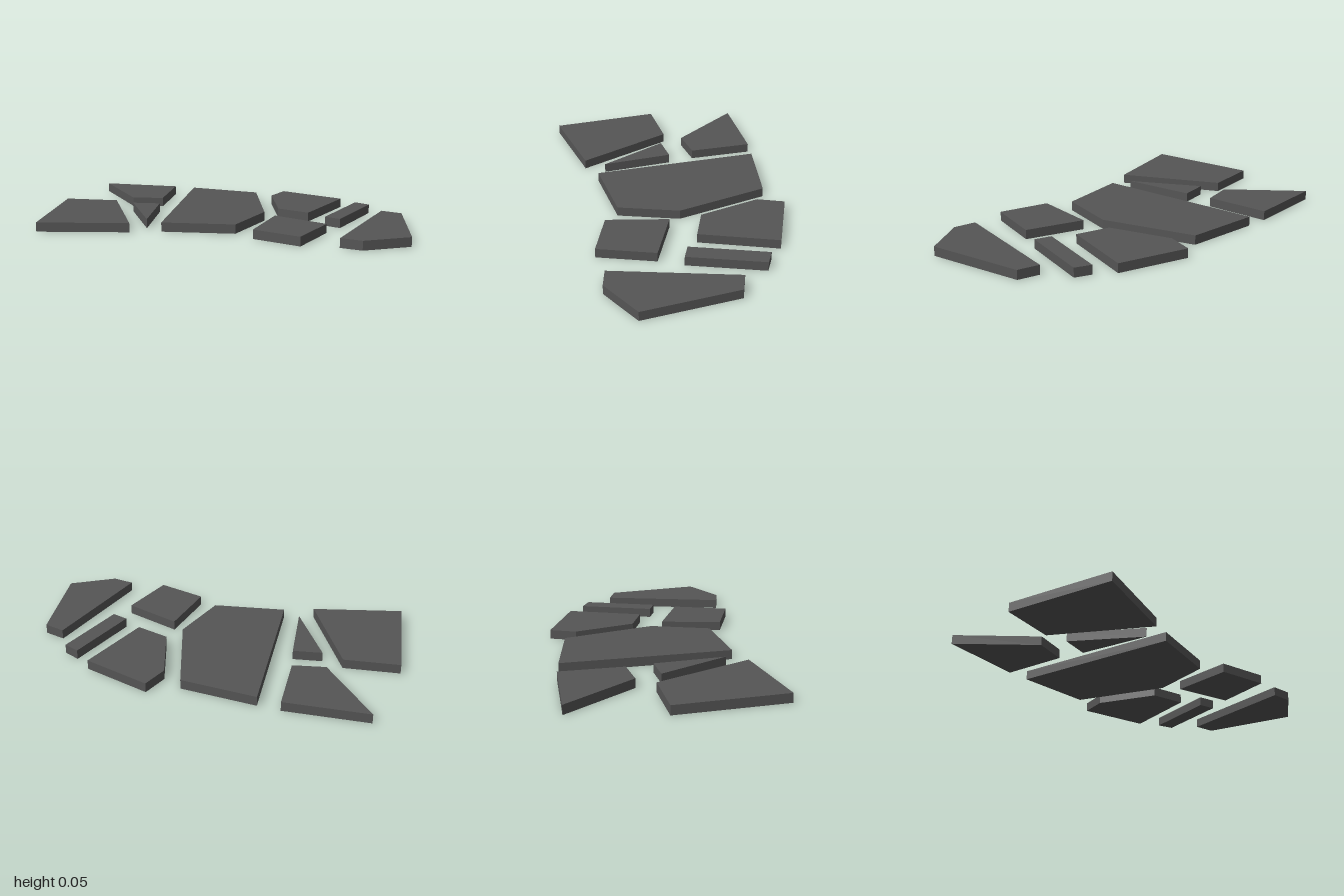
import * as THREE from 'three';

const THICKNESS = 0.047;

// Outlines of the flat slabs, as [x, z] corners seen from above
const SLABS = {
  backRightSlab: [[-0.24, -0.87], [-0.1, -0.63], [-0.43, -0.21], [-0.714, -0.577]],
  backPointedSlab: [[0.2, -1], [0.387, -0.632], [0.103, -0.475], [0.008, -0.61]],
  triangularShard: [[-0.087, -0.518], [-0.008, -0.395], [-0.315, -0.2]],
  centralSlab: [[0.426, -0.525], [0.548, -0.163], [0.188, 0.162], [-0.12, 0.213], [-0.32, -0.097]],
  leftSlab: [[0.537, -0.047], [0.676, -0.062], [0.712, 0.297], [0.317, 0.348], [0.297, 0.172]],
  rightSlab: [[-0.145, 0.34], [0.157, 0.252], [0.176, 0.552], [-0.113, 0.595]],
  narrowBar: [[0.297, 0.464], [0.683, 0.407], [0.683, 0.493], [0.304, 0.55]],
  frontSlab: [[-0.017, 0.75], [0.597, 0.618], [0.612, 0.727], [0.212, 1], [0.008, 0.858]],
};

// Extrudes an outline upward from the ground
function slabGeometry(outline) {
  const shape = new THREE.Shape(outline.map(([x, z]) => new THREE.Vector2(x, -z)));
  const geometry = new THREE.ExtrudeGeometry(shape, { depth: THICKNESS, bevelEnabled: false });
  return geometry.rotateX(-Math.PI / 2);
}

export function createModel() {
  const group = new THREE.Group();
  group.name = 'slabs';

  const darkGrey = new THREE.MeshStandardMaterial({ color: 0x555555 });
  darkGrey.name = 'darkGrey';

  for (const [name, outline] of Object.entries(SLABS)) {
    const slab = new THREE.Mesh(slabGeometry(outline), darkGrey);
    slab.name = name;
    group.add(slab);
  }
  return group;
}
